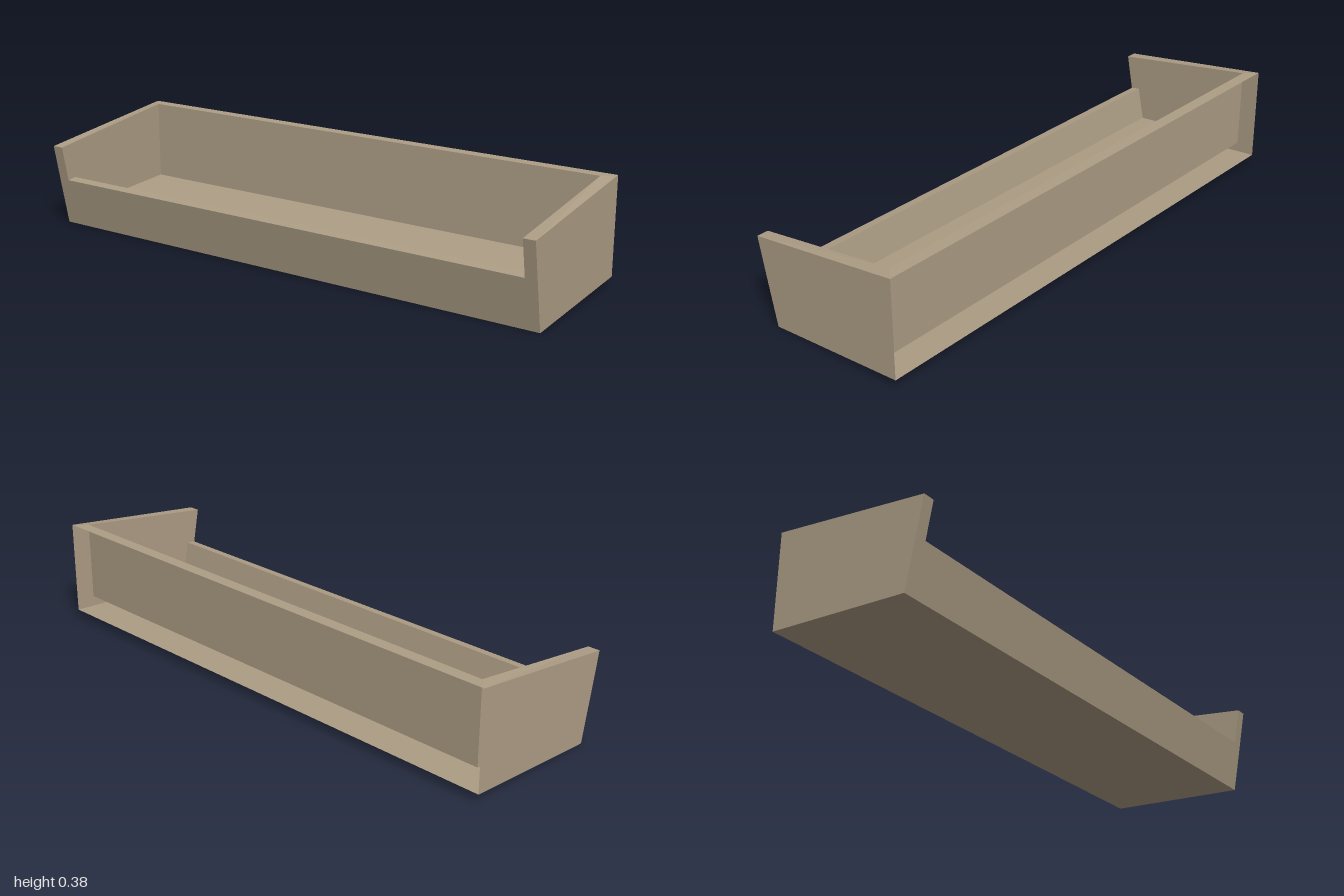
import * as THREE from 'three';

// Outer and inner half lengths of the trough
const OUT = 1, IN = 0.957;

// Profile points in the x-y plane
const P = {
  footFront: [-0.235, 0], footBack: [0.295, 0.03],
  topBack: [0.295, 0.382], topFront: [-0.295, 0.312],
  lipOuter: [-0.27, 0.18], lipInner: [-0.235, 0.185],
  floorFront: [-0.21, 0.061], floorBack: [0.25, 0.087], rimInner: [0.25, 0.382],
};

export function createModel() {
  const group = new THREE.Group();
  const wood = new THREE.MeshStandardMaterial({ color: 0xad9d85, side: THREE.DoubleSide });
  wood.name = 'tan wood';

  const add = (name, geometry) => {
    const mesh = new THREE.Mesh(geometry, wood);
    mesh.name = name;
    group.add(mesh);
    return mesh;
  };

  // Four-cornered sheet, corners counter-clockwise from its front
  const quad = (name, a, b, c, d) => {
    const g = new THREE.BufferGeometry();
    g.setAttribute('position', new THREE.Float32BufferAttribute([a, b, c, a, c, d].flat(), 3));
    g.computeVertexNormals();
    return add(name, g);
  };

  // Sheet running along z between two profile points
  const strip = (name, a, b, za, zb = za) =>
    quad(name, [...a, za], [...b, zb], [...b, -zb], [...a, -za]);

  // Flat end sheet from a profile outline
  const sheet = (name, points, z, facing) => {
    const shape = new THREE.Shape(points.map(([x, y]) => new THREE.Vector2(facing * x, y)));
    const mesh = add(name, new THREE.ShapeGeometry(shape));
    mesh.position.z = z;
    if (facing < 0) mesh.rotation.y = Math.PI;
  };

  // Long sheets; the outer back stays open
  strip('underside', P.footBack, P.footFront, OUT);
  strip('lowFrontWall', P.footFront, P.lipOuter, OUT);
  strip('frontLip', P.lipOuter, P.lipInner, IN);
  strip('frontWallInside', P.lipInner, P.floorFront, IN);
  strip('floor', P.floorFront, P.floorBack, IN);
  strip('backWall', P.floorBack, P.rimInner, IN);
  strip('backRim', P.rimInner, P.topBack, IN, OUT);

  // Mirrored hollow end panels
  for (const s of [1, -1]) {
    sheet('endPanelOutside', [P.footFront, P.footBack, P.topBack, P.topFront], s * OUT, s);
    sheet('endPanelInside',
      [P.floorFront, P.floorBack, P.rimInner, P.topFront, P.lipOuter, P.lipInner], s * IN, -s);
    const sided = (name, ...c) => quad(name, ...(s > 0 ? c : c.reverse()));
    sided('endPanelTop', [...P.topFront, s * OUT], [...P.topBack, s * OUT],
      [...P.rimInner, s * IN], [...P.topFront, s * IN]);
    sided('endPanelFrontEdge', [...P.lipOuter, s * OUT], [...P.topFront, s * OUT],
      [...P.topFront, s * IN], [...P.lipOuter, s * IN]);
  }
  return group;
}
